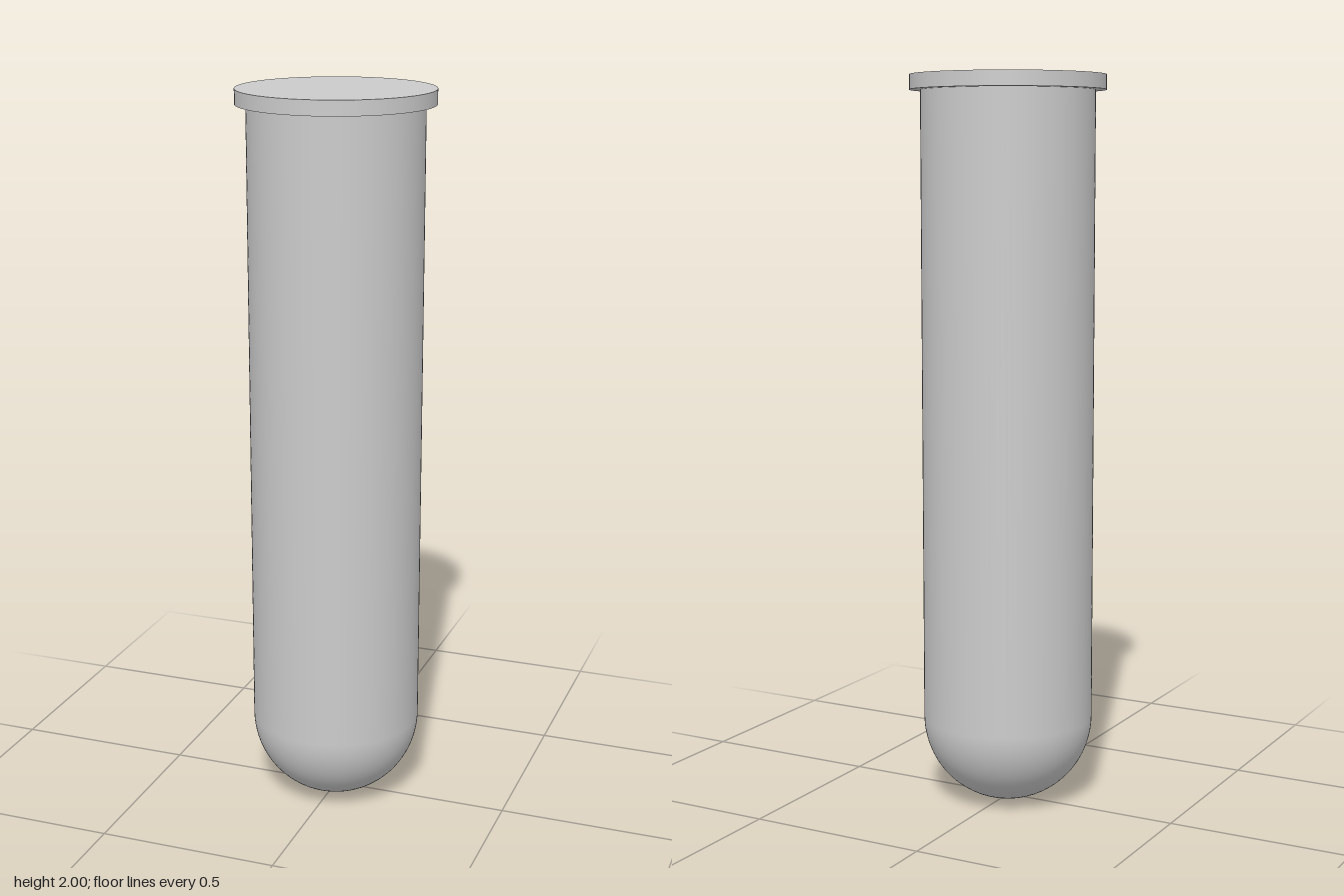
import * as THREE from 'three';

const BODY_RADIUS = 0.235;
const RIM_RADIUS = 0.264;
const HEIGHT = 2;
const RIM_HEIGHT = 0.04;
const SIDES = 96;

export function createModel() {
  const model = new THREE.Group();
  model.name = 'roundBottomedTube';
  const material = new THREE.MeshStandardMaterial({ color: 0xcccccc });

  // Tube: hemispherical bottom running tangent into a straight wall
  const profile = [];
  const arcSteps = 24;
  for (let i = 0; i <= arcSteps; i++) {
    const a = (i / arcSteps) * Math.PI / 2;
    profile.push(new THREE.Vector2(BODY_RADIUS * Math.sin(a), BODY_RADIUS * (1 - Math.cos(a))));
  }
  profile.push(new THREE.Vector2(BODY_RADIUS, HEIGHT - RIM_HEIGHT));
  const tube = new THREE.Mesh(new THREE.LatheGeometry(profile, SIDES), material);
  tube.name = 'tube';
  model.add(tube);

  // Rim: flat closed disc overhanging the wall
  const rim = new THREE.Mesh(
    new THREE.CylinderGeometry(RIM_RADIUS, RIM_RADIUS, RIM_HEIGHT, SIDES), material);
  rim.name = 'rim';
  rim.position.y = HEIGHT - RIM_HEIGHT / 2;
  model.add(rim);

  return model;
}
